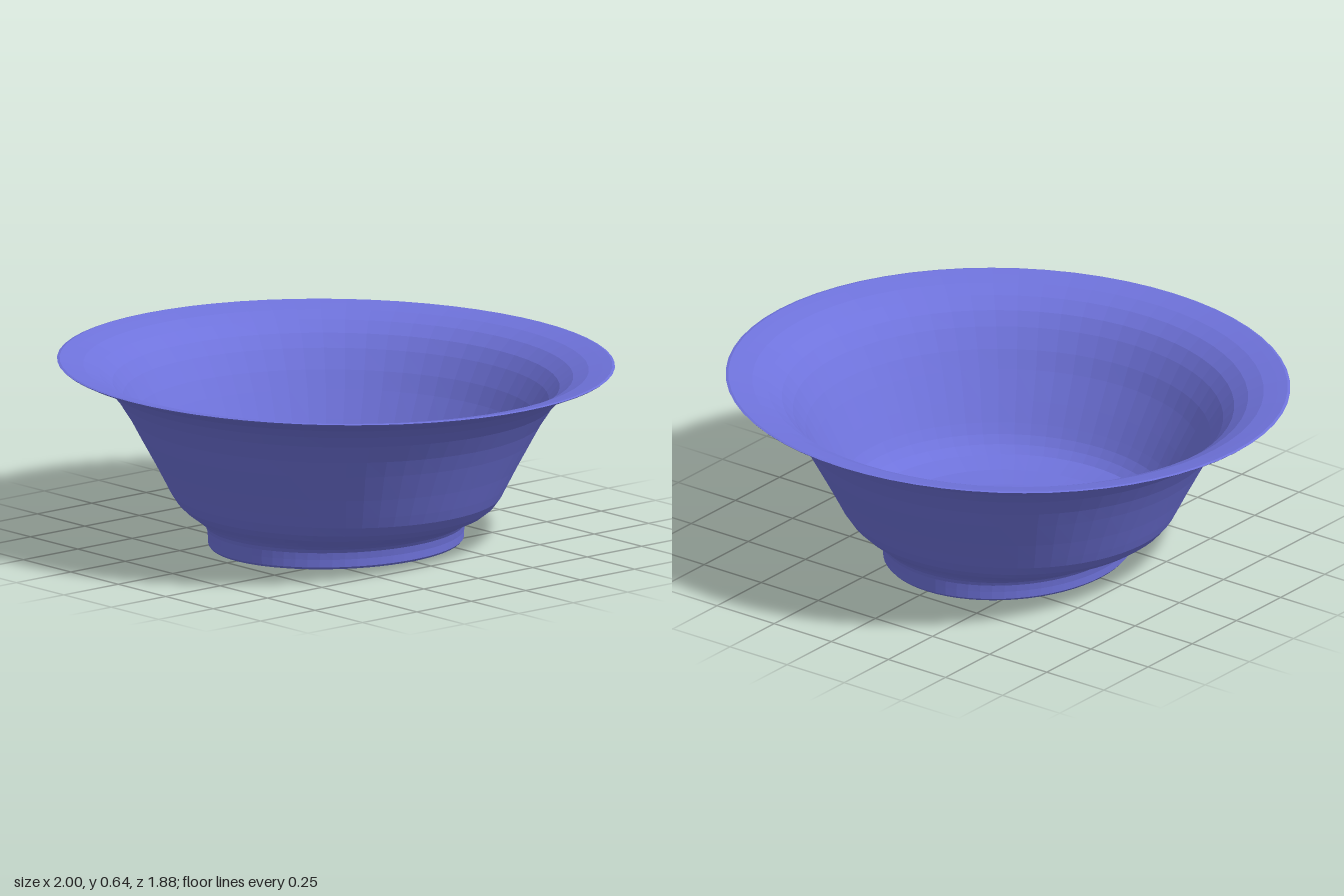
import * as THREE from 'three';

const SEGMENTS = 64;

// Sweeps rings of [half width x, half depth z, height y] into an oval surface
function ovalLathe(name, rings, material) {
  const points = rings.map(([rx, , y]) => new THREE.Vector2(rx, y));
  const geometry = new THREE.LatheGeometry(points, SEGMENTS);
  const pos = geometry.attributes.position;
  for (let i = 0; i < pos.count; i++) {
    const [rx, rz] = rings[i % rings.length];
    if (rx > 0) pos.setZ(i, pos.getZ(i) * rz / rx);
  }
  geometry.computeVertexNormals();
  const mesh = new THREE.Mesh(geometry, material);
  mesh.name = name;
  return mesh;
}

export function createModel() {
  const glaze = new THREE.MeshStandardMaterial({ color: 0x6f73dc, flatShading: true });
  glaze.name = 'periwinkle glaze';

  const bowl = new THREE.Group();
  bowl.name = 'bowl';

  // Foot with a shallow recess underneath
  const foot = [
    [0, 0, 0.012], [0.385, 0.435, 0.012], [0.395, 0.445, 0.002], [0.405, 0.458, 0],
    [0.412, 0.465, 0.008], [0.414, 0.466, 0.035], [0.42, 0.467, 0.06],
  ];

  // Flared outer wall
  const outer = [
    [0.42, 0.467, 0.06], [0.43, 0.47, 0.073], [0.455, 0.48, 0.087], [0.49, 0.495, 0.102],
    [0.53, 0.517, 0.12], [0.565, 0.54, 0.145], [0.594, 0.56, 0.18], [0.615, 0.58, 0.22],
    [0.65, 0.617, 0.29], [0.70, 0.67, 0.385], [0.735, 0.70, 0.445], [0.78, 0.74, 0.51],
    [0.82, 0.775, 0.552], [0.866, 0.815, 0.586], [0.92, 0.868, 0.608], [0.965, 0.91, 0.622],
    [0.995, 0.936, 0.634], [1, 0.94, 0.638],
  ];

  // Inside surface from the lip down to the floor
  const inner = [
    [1, 0.94, 0.638], [0.99, 0.932, 0.64], [0.955, 0.90, 0.633], [0.905, 0.853, 0.622],
    [0.85, 0.80, 0.598], [0.80, 0.755, 0.562], [0.76, 0.72, 0.517], [0.715, 0.68, 0.45],
    [0.68, 0.65, 0.388], [0.63, 0.597, 0.293], [0.595, 0.56, 0.225], [0.573, 0.54, 0.19],
    [0.548, 0.518, 0.162], [0.51, 0.49, 0.138], [0.43, 0.41, 0.115], [0.32, 0.31, 0.105],
    [0, 0, 0.105],
  ];

  bowl.add(
    ovalLathe('foot', foot, glaze),
    ovalLathe('outerWall', outer, glaze),
    ovalLathe('innerWall', inner, glaze),
  );
  return bowl;
}
